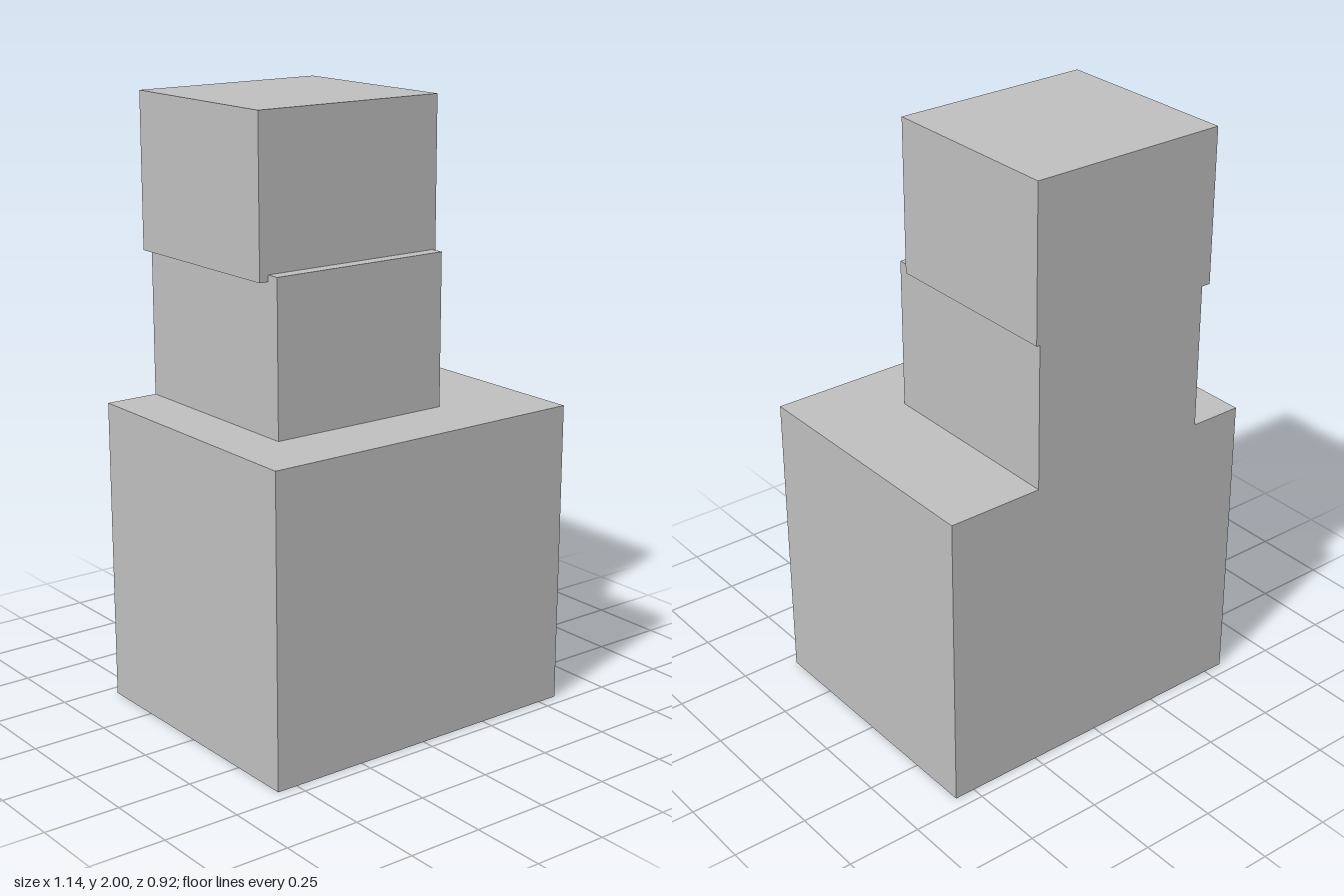
import * as THREE from 'three';

export function createModel() {
  const model = new THREE.Group();
  model.name = 'steppedTower';
  const grey = new THREE.MeshStandardMaterial({ color: 0xbfbfbf });
  grey.name = 'grey';
  const back = -0.458; // all blocks share one flush back plane

  function block(name, x0, x1, y0, y1, front) {
    const geometry = new THREE.BoxGeometry(x1 - x0, y1 - y0, front - back);
    const mesh = new THREE.Mesh(geometry, grey);
    mesh.name = name;
    mesh.position.set((x0 + x1) / 2, (y0 + y1) / 2, (front + back) / 2);
    model.add(mesh);
  }

  // Wide base, narrower middle, and a top block that slightly overlaps it
  block('baseBlock', -0.57, 0.57, 0, 1.01, 0.458);
  block('middleBlock', -0.39, 0.246, 1.01, 1.513, 0.225);
  block('topBlock', -0.421, 0.258, 1.492, 2, 0.18);

  return model;
}
